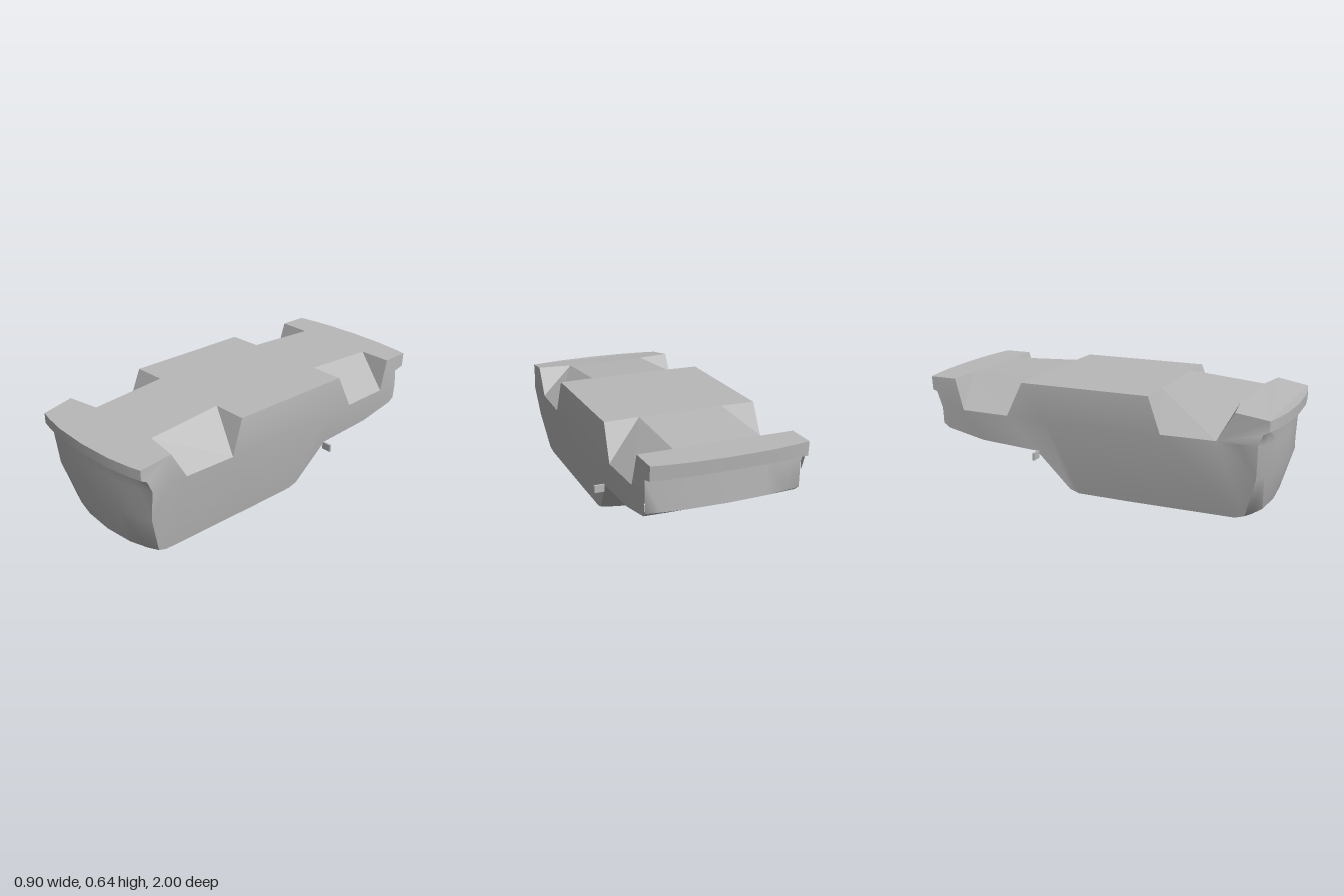
import * as THREE from 'three';
import { toCreasedNormals } from 'three/addons/utils/BufferGeometryUtils.js';

// Collects convex polygons as triangles
class Faces {
  constructor() { this.pos = []; }
  poly(...p) {
    for (let i = 1; i < p.length - 1; i++) this.pos.push(...p[0], ...p[i], ...p[i + 1]);
  }
  // The same polygon on both sides of the body
  pair(...p) {
    this.poly(...p);
    this.poly(...p.map(([x, y, z]) => [-x, y, z]).reverse());
  }
  mesh(name, material, crease) {
    const g = new THREE.BufferGeometry();
    g.setAttribute('position', new THREE.Float32BufferAttribute(this.pos, 3));
    g.computeVertexNormals();
    const m = new THREE.Mesh(crease ? toCreasedNormals(g, crease) : g, material);
    m.name = name;
    return m;
  }
}

export function createModel() {
  const group = new THREE.Group();
  group.name = 'carBody';
  const grey = new THREE.MeshStandardMaterial({ color: 0xb8b8b8 });
  grey.name = 'body grey';

  // Profile from front lip, under the cabin, to rear lip:
  // edge z, edge y, half width, centre z, centre y
  const profile = [
    [0.95, 0.575, 0.405, 0.997, 0.573],
    [0.95, 0.52, 0.405, 0.997, 0.518],
    [0.92, 0.505, 0.41, 0.957, 0.51],
    [0.90, 0.45, 0.42, 0.95, 0.42],
    [0.89, 0.27, 0.394, 0.955, 0.27],
    [0.83, 0.06, 0.357, 0.885, 0.038],
    [0.78, 0.042, 0.353, 0.80, 0.012],
    [0.2, 0.04, 0.353, 0.2, 0.002],
    [-0.09, 0.042, 0.353, -0.11, 0.016],
    [-0.14, 0.06, 0.357, -0.165, 0.04],
    [-0.32, 0.265, 0.393, -0.36, 0.27],
    [-0.65, 0.287, 0.398, -0.65, 0.285],
    [-0.87, 0.335, 0.403, -0.88, 0.335],
    [-0.90, 0.36, 0.406, -0.935, 0.36],
    [-0.90, 0.53, 0.408, -0.935, 0.53],
    [-0.96, 0.545, 0.408, -0.993, 0.55],
    [-0.965, 0.62, 0.408, -1.0, 0.62],
  ];
  const across = [-1, -0.82, -0.5, 0, 0.5, 0.82, 1];
  const rows = profile.map(([ez, ey, w, cz, cy]) => across.map((t) => {
    const k = Math.pow(Math.abs(t), 2.3);
    return [t * w, cy + (ey - cy) * k, cz + (ez - cz) * k];
  }));
  const edge = rows.map((r) => r[r.length - 1]);

  // Ends and roof skin
  const shell = new Faces();
  for (let i = 0; i < rows.length - 1; i++) {
    for (let j = 0; j < across.length - 1; j++) {
      shell.poly(rows[i][j], rows[i + 1][j], rows[i + 1][j + 1], rows[i][j + 1]);
    }
  }

  // Widest line along the flank, one point for each profile row 3 to 13
  const beltZ = [0.90, 0.80, 0.69, 0.40, 0.1, -0.1, -0.25, -0.48, -0.76, -0.87, -0.90];
  const belt = beltZ.map((z) => [0.427 - Math.max(0, Math.abs(z) - 0.4) * 0.03, 0.45, z]);
  belt[0] = edge[3];
  for (let i = 0; i < belt.length - 1; i++) {
    shell.pair(belt[i], edge[i + 3], edge[i + 4], belt[i + 1]);
  }

  // Upper flank between the wheel wells
  const topA = [0.417, 0.602, 0.78], topB = [0.417, 0.638, 0.33];
  const topC = [0.417, 0.638, -0.39], topD = [0.41, 0.62, -0.81];
  shell.pair(topA, edge[0], edge[1], edge[2], belt[0], belt[1], belt[2]);
  shell.pair(topB, ...belt.slice(3, 8), topC);
  shell.pair(topD, belt[8], belt[9], belt[10], edge[14], edge[15], edge[16]);
  group.add(shell.mesh('bodyShell', grey, 0.95));

  // Flat floor pan
  const flip = ([x, y, z]) => [-x, y, z];
  const inA = [0.23, 0.604, 0.75], inB = [0.23, 0.64, 0.33];
  const inC = [0.23, 0.64, -0.39], inD = [0.23, 0.62, -0.81];
  const pan = new Faces();
  pan.poly(...rows[0], topA, inA, flip(inA), flip(topA));
  pan.poly(flip(inA), inA, inB, flip(inB));
  pan.poly(flip(inB), inB, inC, flip(inC));
  pan.pair(inB, topB, topC, inC);
  pan.poly(flip(inC), inC, inD, flip(inD));
  pan.poly(...[...rows[16]].reverse(), flip(topD), flip(inD), inD, topD);
  group.add(pan.mesh('floorPan', grey));

  // Wedge-shaped wheel wells: slanted bed and two end walls each
  const wells = new Faces();
  for (const [i1, t1, o1, o2, t2, i2] of [
    [inA, topA, belt[2], belt[3], topB, inB],
    [inC, topC, belt[7], belt[8], topD, inD],
  ]) {
    wells.pair(i1, o1, o2, i2);
    wells.pair(i1, t1, o1);
    wells.pair(i2, o2, t2);
  }
  group.add(wells.mesh('wheelWells', grey));

  // Small side mirrors
  for (const s of [1, -1]) {
    const mirror = new THREE.Mesh(new THREE.BoxGeometry(0.055, 0.04, 0.012), grey);
    mirror.name = s > 0 ? 'leftMirror' : 'rightMirror';
    mirror.position.set(s * 0.4225, 0.248, -0.31);
    group.add(mirror);
  }
  return group;
}
